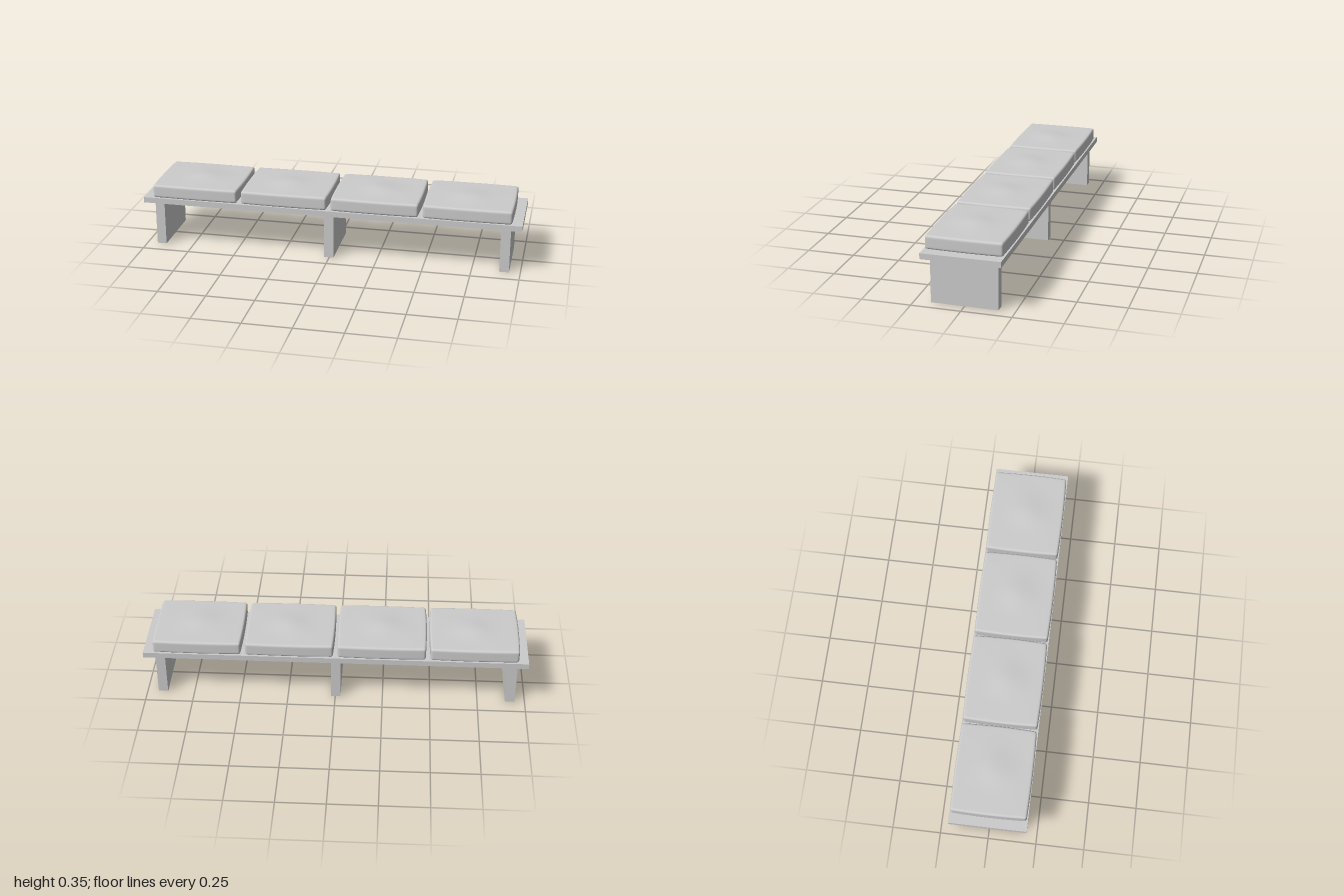
import * as THREE from 'three';
import { mergeVertices } from 'three/addons/utils/BufferGeometryUtils.js';

const RADIUS = 0.012;

// Concentrates the outer grid lines inside the rounded rim (t runs -1..1)
function spread(t, half, flat) {
  const a = Math.abs(t), inner = half - RADIUS;
  const d = a <= flat ? (a / flat) * inner : inner + ((a - flat) / (1 - flat)) * RADIUS;
  return Math.sign(t) * d;
}

// Soft padded block: rounded edges, bulging sides and a tufted, crowned top
function cushionGeometry(w, h, d, phase) {
  let geo = new THREE.BoxGeometry(2, 2, 2, 28, 12, 28);
  geo.deleteAttribute('uv');
  geo.deleteAttribute('normal');
  geo = mergeVertices(geo);
  const pos = geo.attributes.position;
  const half = new THREE.Vector3(w / 2, h / 2, d / 2);
  const inner = half.clone().subScalar(RADIUS);
  const p = new THREE.Vector3(), core = new THREE.Vector3();
  for (let i = 0; i < pos.count; i++) {
    p.fromBufferAttribute(pos, i);
    p.set(spread(p.x, half.x, 11 / 14), spread(p.y, half.y, 3 / 6), spread(p.z, half.z, 11 / 14));
    core.copy(p).clamp(inner.clone().negate(), inner);
    p.sub(core).setLength(RADIUS).add(core);

    const u = p.x / half.x, v = p.z / half.z;
    const lift = THREE.MathUtils.smoothstep(p.y, -half.y, half.y);
    const pad = (1 - u * u) * (1 - v * v);
    const crown = 0.009 * Math.exp(-(p.x * p.x + p.z * p.z) / 0.007);
    const ripple = 0.0012 * Math.sin(p.x * 17 + phase) * Math.cos(p.z * 20 - phase);
    const bulge = 0.005;
    p.x += bulge * u * (1 - v * v);
    p.z += bulge * v * (1 - u * u);
    p.y += lift * (crown + pad * (0.002 + ripple));
    pos.setXYZ(i, p.x, p.y, p.z);
  }
  geo.computeVertexNormals();
  return geo;
}

export function createModel() {
  const model = new THREE.Group();
  model.name = 'bench';
  const grey = new THREE.MeshStandardMaterial({ color: 0xcccccc });
  grey.name = 'light grey';

  const add = (name, geometry, x, y) => {
    const mesh = new THREE.Mesh(geometry, grey);
    mesh.name = name;
    mesh.position.set(x, y, 0);
    model.add(mesh);
  };

  // Long seat board
  add('seatBoard', new THREE.BoxGeometry(2, 0.03, 0.398), 0, 0.257);

  // Three upright panel legs
  const legHeight = 0.242;
  [['rightLeg', -0.922], ['middleLeg', -0.003], ['leftLeg', 0.917]].forEach(([name, x]) =>
    add(name, new THREE.BoxGeometry(0.05, legHeight, 0.336), x, legHeight / 2));

  // Four seat cushions in a row
  const cushionHeight = 0.07;
  for (let i = 0; i < 4; i++) {
    add(`cushion${i + 1}`, cushionGeometry(0.455, cushionHeight, 0.384, i * 1.7),
      -0.721 + i * 0.48, 0.272 + cushionHeight / 2);
  }
  return model;
}
